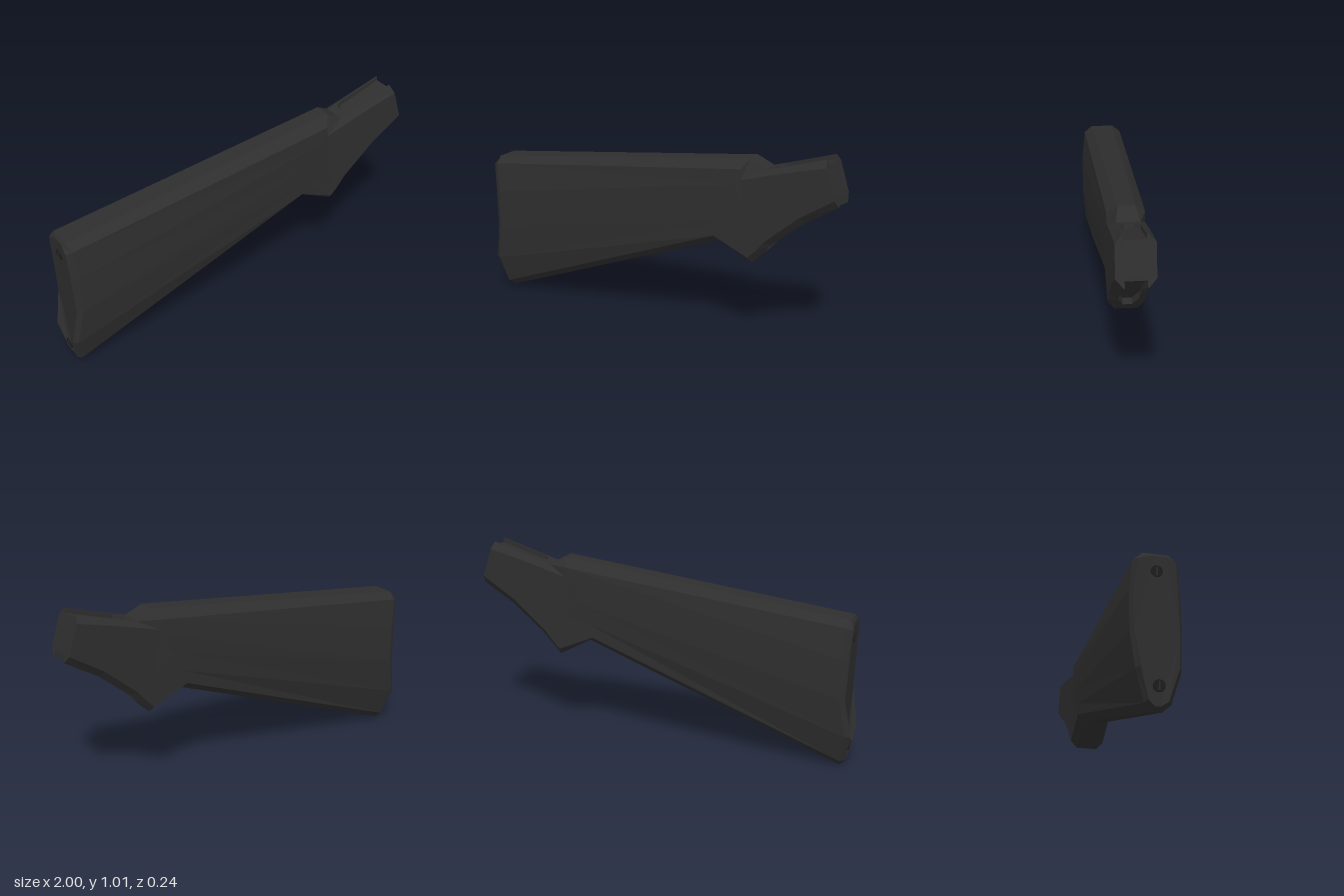
import * as THREE from 'three';

// Cross-sections from butt to front. Each corner is [x, y, half width].
// bulge: extra width of the sides, dent: curve of the butt,
// slotW / slot: half width and depth factor of the channels above and below.
const STATIONS = [
  { top: [-0.988, 0.748, 0.048], shoulder: [-0.994, 0.722, 0.088], low: [-0.978, 0.04, 0.045], bottom: [-0.966, 0.018, 0.014], bulge: 0.016, dent: 1 },
  { top: [-0.975, 0.765, 0.06], shoulder: [-0.965, 0.733, 0.102], low: [-0.955, 0.034, 0.06], bottom: [-0.945, 0, 0.02], bulge: 0.016, dent: 1 },
  { top: [0.53, 0.96, 0.04], shoulder: [0.5, 0.912, 0.09], low: [0.36, 0.55, 0.088], bottom: [0.39, 0.525, 0.05], bulge: 0.003, dent: 0 },
  { top: [0.61, 0.915, 0.057], shoulder: [0.505, 0.86, 0.09], low: [0.55, 0.47, 0.09], bottom: [0.56, 0.435, 0.055], bulge: 0, dent: 0 },
  { top: [0.65, 0.927, 0.057], shoulder: [0.63, 0.897, 0.09], low: [0.585, 0.505, 0.09], bottom: [0.6, 0.48, 0.055], bulge: 0, dent: 0, slotW: 0.022 },
  { top: [0.65, 0.927, 0.057], shoulder: [0.63, 0.897, 0.09], low: [0.585, 0.505, 0.09], bottom: [0.6, 0.48, 0.055], bulge: 0, dent: 0, slotW: 0.022, slot: 1 },
  { top: [0.68, 0.936, 0.057], shoulder: [0.66, 0.906, 0.09], low: [0.635, 0.567, 0.09], bottom: [0.66, 0.546, 0.055], bulge: 0, dent: 0, slotW: 0.05, slot: 1 },
  { top: [0.78, 0.967, 0.057], shoulder: [0.77, 0.937, 0.09], low: [0.81, 0.718, 0.09], bottom: [0.83, 0.688, 0.055], bulge: 0, dent: 0, slotW: 0.05, slot: 1 },
  { top: [0.925, 1.013, 0.057], shoulder: [0.935, 0.98, 0.09], low: [0.983, 0.83, 0.09], bottom: [0.995, 0.79, 0.055], bulge: 0, dent: 0, slotW: 0.05, slot: 1 },
];

// Side rows between shoulder and low corner: [fraction, width gain, butt curve]
const SIDES = [[0.22, 1, 0.015], [0.51, 1, 0.012], [0.79, 0, -0.025]];

function section({ top, shoulder, low, bottom, bulge, dent, slotW = 0.01, slot = 0 }) {
  const sides = SIDES.map(([t, gain, curve]) => [
    THREE.MathUtils.lerp(shoulder[0], low[0], t) + dent * curve,
    THREE.MathUtils.lerp(shoulder[1], low[1], t),
    shoulder[2] + bulge * gain,
  ]);
  const half = [
    [top[0] + 0.006 * slot, top[1] - 0.022 * slot, slotW],
    [top[0], top[1], slotW],
    top, shoulder, ...sides, low, bottom,
    [bottom[0], bottom[1], slotW],
    [bottom[0] - 0.01 * slot, bottom[1] + 0.03 * slot, slotW],
  ];
  const mirrored = half.map(([x, y, z]) => [x, y, -z]).reverse();
  return [...half, ...mirrored];
}

// Skin the sections and close both ends
function stockGeometry() {
  const loops = STATIONS.map(section);
  const n = loops[0].length;
  const index = [];
  for (let i = 0; i < loops.length - 1; i++) {
    for (let j = 0; j < n; j++) {
      const k = (j + 1) % n;
      const a = i * n + j, d = i * n + k, b = a + n, c = d + n;
      index.push(a, d, c, a, c, b);
    }
  }
  const cap = (i, facesFront) => {
    const flat = loops[i].map(([, y, z]) => new THREE.Vector2(z, y));
    for (const [a, b, c] of THREE.ShapeUtils.triangulateShape(flat, [])) {
      const ccw = THREE.ShapeUtils.area([flat[a], flat[b], flat[c]]) > 0;
      const o = i * n;
      if (ccw !== facesFront) index.push(o + a, o + b, o + c);
      else index.push(o + a, o + c, o + b);
    }
  };
  cap(0, false);
  cap(loops.length - 1, true);

  const geometry = new THREE.BufferGeometry();
  geometry.setAttribute('position', new THREE.Float32BufferAttribute(loops.flat(2), 3));
  geometry.setIndex(index);
  const faceted = geometry.toNonIndexed();
  faceted.computeVertexNormals();
  return faceted;
}

export function createModel() {
  const model = new THREE.Group();
  model.name = 'rifleStock';
  const body = new THREE.MeshStandardMaterial({ color: 0x2e2e2e });
  body.name = 'charcoal';
  const dark = new THREE.MeshStandardMaterial({ color: 0x1e1e1e });
  dark.name = 'darkMetal';

  const stock = new THREE.Mesh(stockGeometry(), body);
  stock.name = 'stock';
  model.add(stock);

  // Two slotted screws in the butt
  for (const [name, x, y] of [['upperScrew', -0.987, 0.668], ['lowerScrew', -0.988, 0.105]]) {
    const screw = new THREE.Group();
    screw.name = name;
    const head = new THREE.Mesh(new THREE.CylinderGeometry(0.028, 0.028, 0.008, 12), dark);
    head.name = 'screwHead';
    const bar = new THREE.Mesh(new THREE.BoxGeometry(0.04, 0.004, 0.007), body);
    bar.name = 'screwSlot';
    bar.position.y = 0.004;
    screw.add(head, bar);
    screw.position.set(x, y, 0);
    screw.rotation.z = Math.PI / 2 + 0.15;
    model.add(screw);
  }
  return model;
}
